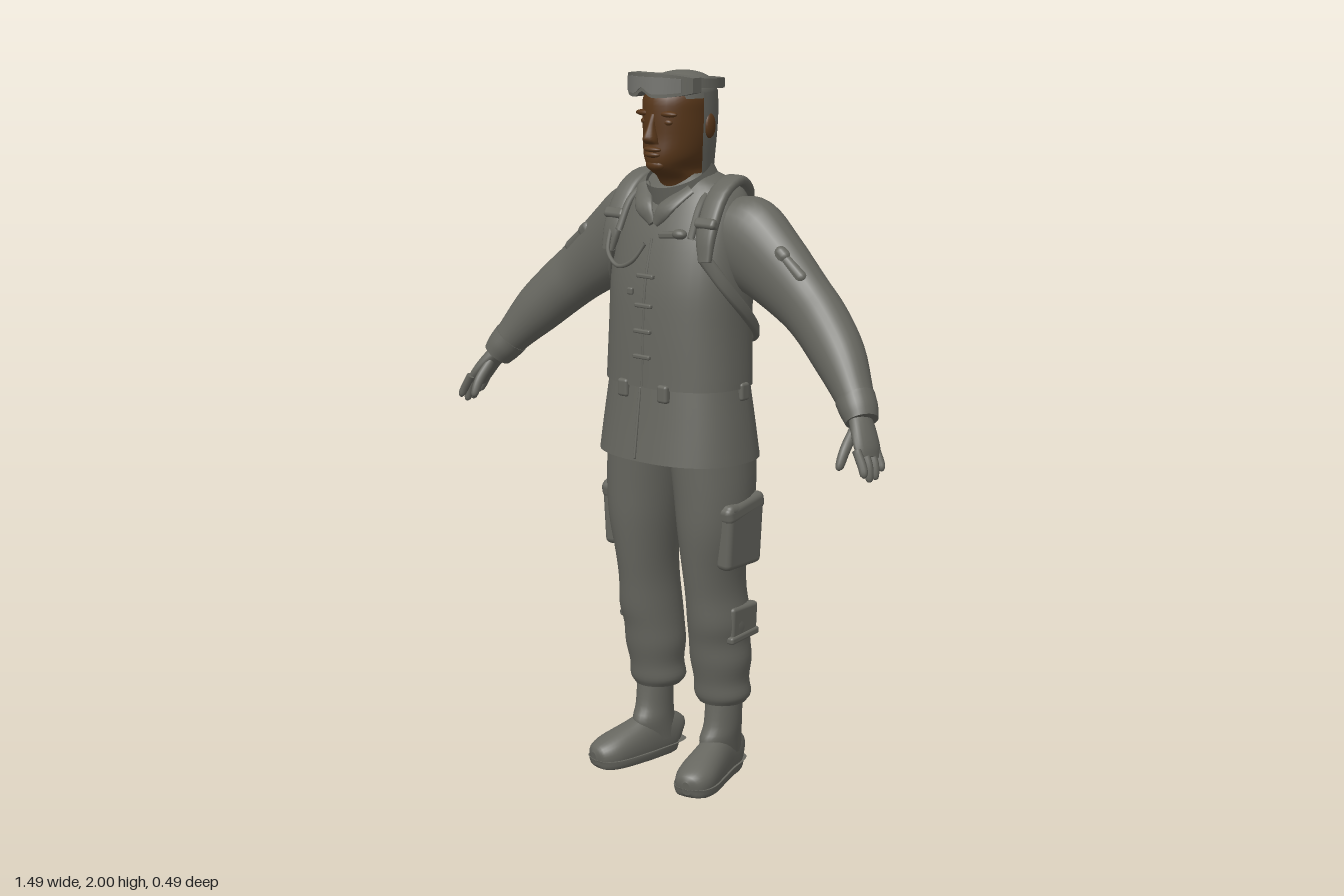
import * as THREE from 'three';
import { RoundedBoxGeometry } from 'three/addons/geometries/RoundedBoxGeometry.js';
import { mergeVertices } from 'three/addons/utils/BufferGeometryUtils.js';

const V = (x, y, z) => new THREE.Vector3(x, y, z);

// Skin through elliptical rings [x, y, z, ru, rv]; without ref the rings stay level,
// with ref they turn along the path and rv points towards ref.
function loft(rings, { ref = null, p = 1, n = 28, sub = 4, from = 0, arc = Math.PI * 2, cap = true } = {}) {
  const curve = (f) => new THREE.CatmullRomCurve3(rings.map(f), false, 'catmullrom', 0.5);
  const centre = curve((r) => V(r[0], r[1], r[2])), radius = curve((r) => V(r[3], r[4], 0));
  const steps = (rings.length - 1) * sub, pos = [], idx = [], row = n + 1;
  const sq = (c) => Math.sign(c) * Math.abs(c) ** p;
  const closed = arc > 6.28;
  for (let i = 0; i <= steps; i++) {
    const c = centre.getPoint(i / steps), r = radius.getPoint(i / steps);
    let u = V(1, 0, 0), v = V(0, 0, 1);
    if (ref) {
      const t = centre.getTangent(i / steps);
      v = ref.clone().addScaledVector(t, -ref.dot(t)).normalize();
      u = t.clone().cross(v);
    }
    for (let j = 0; j <= n; j++) {
      const a = from + (arc * j) / n;
      const q = c.clone().addScaledVector(u, r.x * sq(Math.cos(a))).addScaledVector(v, r.y * sq(Math.sin(a)));
      pos.push(q.x, q.y, q.z);
    }
  }
  for (let i = 0; i < steps; i++) for (let j = 0; j < n; j++) {
    const a = i * row + j, b = i * row + (closed ? (j + 1) % n : j + 1);
    idx.push(a, a + row, b, b, a + row, b + row);
  }
  if (cap && closed) [0, steps].forEach((i) => {
    const base = pos.length / 3, c = centre.getPoint(i / steps);
    pos.push(c.x, c.y, c.z, ...pos.slice(i * row * 3, (i * row + n) * 3));
    for (let j = 0; j < n; j++) {
      const a = base + 1 + j, b = base + 1 + ((j + 1) % n);
      idx.push(...(i ? [base, b, a] : [base, a, b]));
    }
  });
  const g = new THREE.BufferGeometry();
  g.setAttribute('position', new THREE.Float32BufferAttribute(pos, 3));
  g.setIndex(idx);
  g.computeVertexNormals();
  return g;
}

// Move every vertex by a rule
function shape(g, rule) {
  const a = g.attributes.position, v = V(0, 0, 0);
  for (let i = 0; i < a.count; i++) {
    rule(v.fromBufferAttribute(a, i));
    a.setXYZ(i, v.x, v.y, v.z);
  }
  g.computeVertexNormals();
  return g;
}

const box = (w, h, d, x, y, z, rx = 0, ry = 0, rz = 0) => mergeVertices(
  new RoundedBoxGeometry(w, h, d, 2, Math.min(w, h, d) * 0.35)).rotateZ(rz).rotateY(ry).rotateX(rx).translate(x, y, z);
const ball = (rx, ry, rz, x, y, z) => new THREE.SphereGeometry(1, 16, 12).scale(rx, ry, rz).translate(x, y, z);
const tube = (pts, r) => new THREE.TubeGeometry(
  new THREE.CatmullRomCurve3(pts.map((q) => V(...q))), 24, r, 8);

export function createModel() {
  const model = new THREE.Group();
  const mat = (name, color, side = THREE.FrontSide) => {
    const m = new THREE.MeshStandardMaterial({ color, side });
    m.name = name;
    return m;
  };
  const cloth = mat('greyCloth', 0x66665f, THREE.DoubleSide);
  const skin = mat('brownSkin', 0x573619);
  const glass = mat('lensGrey', 0x74746f);

  const add = (name, g, m = cloth) => {
    const mesh = new THREE.Mesh(g, m);
    mesh.name = name;
    model.add(mesh);
  };
  // Add a left part and its mirrored right twin
  const pair = (name, g, m = cloth) => {
    const r = g.clone().scale(-1, 1, 1), i = r.index.array;
    for (let k = 0; k < i.length; k += 3) [i[k], i[k + 1]] = [i[k + 1], i[k]];
    add(name + 'Left', g, m);
    add(name + 'Right', r, m);
  };
  const X = V(1, 0, 0), Y = V(0, 1, 0), Z = V(0, 0, 1);

  // Jacket skirt and vest
  add('jacketSkirt', loft([[0, 0.94, 0.06, 0.238, 0.175], [0, 1.04, 0.06, 0.226, 0.162],
    [0, 1.17, 0.06, 0.207, 0.147]], { p: 0.85, n: 40 }));
  add('vest', loft([[0, 1.145, 0.06, 0.218, 0.156], [0, 1.3, 0.055, 0.211, 0.156], [0, 1.43, 0.05, 0.21, 0.15],
    [0, 1.55, 0.035, 0.203, 0.137], [0, 1.64, 0.02, 0.188, 0.115], [0, 1.69, 0.015, 0.15, 0.09],
    [0, 1.72, 0.02, 0.08, 0.065]], { p: 0.85, n: 40 }));
  add('skirtSeam', box(0.008, 0.2, 0.008, -0.012, 1.045, 0.222, -0.13));
  add('vestSeam', tube([[0, 1.15, 0.215], [0, 1.3, 0.21], [0, 1.43, 0.2], [0, 1.55, 0.172]], 0.004));
  for (const [y, z] of [[1.23, 0.214], [1.3, 0.212], [1.37, 0.207], [1.45, 0.198]])
    add('toggle', box(0.06, 0.012, 0.016, 0, y, z));
  pair('beltLoopFront', box(0.036, 0.05, 0.024, 0.072, 1.135, 0.208));
  pair('beltLoopBack', box(0.036, 0.05, 0.024, 0.08, 1.135, -0.088));
  pair('beltLoopSide', box(0.024, 0.05, 0.036, 0.212, 1.135, 0.04));

  // Collar, high at the nape and low at the throat
  const collar = new THREE.CylinderGeometry(0.09, 0.108, 0.11, 32, 3, true);
  add('collar', collar.scale(1, 1, 1.08).rotateX(0.43).translate(0, 1.675, 0.038));
  pair('lapel', loft([[0.005, 1.59, 0.165, 0.006, 0.012], [0.04, 1.635, 0.158, 0.009, 0.028],
    [0.085, 1.685, 0.11, 0.008, 0.02]], { ref: X, n: 12 }));

  // Head and face
  add('head', loft([[0, 1.62, 0.03, 0.062, 0.065], [0, 1.7, 0.042, 0.064, 0.072], [0, 1.735, 0.06, 0.06, 0.105],
    [0, 1.77, 0.063, 0.076, 0.112], [0, 1.82, 0.06, 0.086, 0.11], [0, 1.88, 0.058, 0.09, 0.112],
    [0, 1.93, 0.055, 0.09, 0.108], [0, 1.97, 0.05, 0.065, 0.08], [0, 1.985, 0.05, 0.01, 0.01]]), skin);
  add('nose', loft([[0, 1.805, 0.172, 0.022, 0.012], [0, 1.82, 0.175, 0.02, 0.025], [0, 1.85, 0.17, 0.011, 0.016],
    [0, 1.885, 0.163, 0.008, 0.008]], { n: 14 }), skin);
  add('upperLip', ball(0.03, 0.008, 0.014, 0, 1.79, 0.168), skin);
  add('lowerLip', ball(0.026, 0.009, 0.014, 0, 1.776, 0.168), skin);
  add('chin', ball(0.032, 0.018, 0.02, 0, 1.748, 0.155), skin);
  pair('brow', ball(0.032, 0.009, 0.014, 0.04, 1.885, 0.152), skin);
  pair('eye', ball(0.017, 0.009, 0.01, 0.038, 1.863, 0.151), skin);
  pair('ear', ball(0.012, 0.034, 0.021, 0.092, 1.85, 0.04), skin);

  // Cap over the crown and the back of the head
  add('capBack', loft([[0, 1.68, 0.035, 0.071, 0.082], [0, 1.74, 0.042, 0.08, 0.09], [0, 1.82, 0.05, 0.092, 0.103],
    [0, 1.88, 0.05, 0.096, 0.106], [0, 1.94, 0.05, 0.096, 0.104]], { from: Math.PI * 0.95, arc: Math.PI * 1.1 }));
  add('capCrown', loft([[0, 1.925, 0.052, 0.096, 0.103], [0, 1.955, 0.05, 0.091, 0.099], [0, 1.98, 0.048, 0.066, 0.072],
    [0, 1.992, 0.047, 0.03, 0.034], [0, 1.994, 0.047, 0.002, 0.002]]));

  // Goggles pushed up on the forehead, with a loose strap
  const bend = (v) => {
    const s = Math.abs(v.x) / 0.115, top = v.y > 0;
    v.y = 1.963 + v.y * (1 - 0.4 * s ** 3) + (top ? 0 : 0.018 * Math.exp(-((v.x / 0.018) ** 2)));
    v.z += 0.193 - 0.075 * s * s;
  };
  add('goggleFrame', shape(new THREE.BoxGeometry(0.23, 0.066, 0.034, 24, 4, 1), bend));
  add('goggleLens', shape(new THREE.BoxGeometry(0.19, 0.046, 0.008, 24, 4, 1).translate(0, 0, 0.016), bend), glass);
  add('goggleStrap', new THREE.CylinderGeometry(1, 1, 0.026, 40, 1, true).scale(0.114, 1, 0.132)
    .rotateX(-0.06).translate(0, 1.965, 0.056));

  // Sleeves
  pair('sleeve', loft([[0.13, 1.57, 0.01, 0.1, 0.085], [0.2, 1.54, 0.005, 0.13, 0.09], [0.29, 1.485, 0.008, 0.112, 0.08],
    [0.4, 1.405, 0.015, 0.09, 0.07], [0.47, 1.35, 0.027, 0.083, 0.071], [0.55, 1.275, 0.053, 0.074, 0.066],
    [0.62, 1.195, 0.085, 0.054, 0.052], [0.66, 1.145, 0.105, 0.044, 0.046]], { ref: Z }));
  pair('cuff', loft([[0.628, 1.185, 0.089, 0.054, 0.053], [0.65, 1.157, 0.1, 0.05, 0.052],
    [0.667, 1.133, 0.11, 0.042, 0.046]], { ref: Z }));
  pair('sleevePocket', box(0.12, 0.045, 0.1, 0.38, 1.497, 0.018, 0, 0, -0.69));
  pair('sleevePocketFlap', box(0.05, 0.05, 0.106, 0.352, 1.523, 0.018, 0, 0, -0.69));

  // Gloved hands
  pair('palm', loft([[0.645, 1.16, 0.1, 0.026, 0.03], [0.68, 1.115, 0.122, 0.023, 0.042], [0.705, 1.075, 0.138, 0.02, 0.046],
    [0.718, 1.05, 0.145, 0.014, 0.04]], { ref: Z, n: 18 }));
  [[0.183, 0.192, 1.008], [0.157, 0.168, 0.993], [0.131, 0.143, 0.995], [0.108, 0.117, 1.012]].forEach(([z0, z1, y], k) =>
    pair('finger' + (k + 1), loft([[0.705, 1.075, z0, 0.012, 0.012], [0.728, 1.035, (z0 + z1) / 2, 0.012, 0.012],
      [0.736, y + 0.008, z1, 0.01, 0.009], [0.737, y, z1, 0.002, 0.002]], { ref: Z, n: 10 })));
  pair('thumb', loft([[0.665, 1.115, 0.14, 0.014, 0.015], [0.668, 1.07, 0.183, 0.014, 0.014], [0.668, 1.03, 0.205, 0.011, 0.011],
    [0.668, 1.02, 0.208, 0.002, 0.002]], { ref: Z, n: 10 }));

  // Trousers, gathered above the boots
  pair('trouserLeg', loft([[0.122, 0.222, 0.015, 0.068, 0.068], [0.122, 0.245, 0.014, 0.082, 0.08],
    [0.122, 0.29, 0.02, 0.078, 0.08], [0.123, 0.35, 0.024, 0.086, 0.09], [0.123, 0.41, 0.03, 0.082, 0.094],
    [0.128, 0.47, 0.038, 0.083, 0.1], [0.125, 0.55, 0.048, 0.076, 0.1], [0.125, 0.63, 0.056, 0.08, 0.104],
    [0.128, 0.74, 0.058, 0.097, 0.116], [0.125, 0.84, 0.054, 0.107, 0.125], [0.114, 0.97, 0.052, 0.114, 0.132]]));
  pair('thighPocket', box(0.05, 0.19, 0.15, 0.212, 0.735, 0.05, 0, 0, -0.06));
  pair('thighPocketFlap', box(0.05, 0.05, 0.16, 0.217, 0.81, 0.05, 0.18));
  pair('shinPocket', box(0.03, 0.1, 0.11, 0.195, 0.47, 0.02, 0, 0, -0.05));
  pair('shinPocketFlap', box(0.034, 0.022, 0.12, 0.197, 0.43, 0.022, 0.08));

  // Boots, turned slightly outwards
  const foot = (k) => [[0.112, 0.04, -0.058, 0.022 * k, 0.04], [0.117, 0.05, -0.035, 0.038 * k, 0.062],
    [0.128, 0.055, 0.035, 0.045 * k, 0.078], [0.145, 0.045, 0.11, 0.054 * k, 0.066], [0.163, 0.035, 0.18, 0.058 * k, 0.052],
    [0.172, 0.03, 0.222, 0.042 * k, 0.038], [0.175, 0.028, 0.236, 0.012 * k, 0.02]];
  pair('bootFoot', shape(loft(foot(1), { ref: Y, p: 0.9 }), (v) => { v.y = Math.max(v.y, 0.004); }));
  pair('bootSole', shape(loft(foot(1.09), { ref: Y, p: 0.6 }), (v) => { v.y = THREE.MathUtils.clamp(v.y, 0, 0.026); }));
  pair('bootShaft', loft([[0.122, 0.05, 0.012, 0.042, 0.066], [0.127, 0.11, 0.03, 0.046, 0.076],
    [0.13, 0.16, 0.022, 0.047, 0.064], [0.13, 0.25, 0.017, 0.049, 0.058]]));

  // Backpack with valve and hose loop
  add('backpack', loft([[0, 1.185, -0.088, 0.02, 0.022], [0, 1.23, -0.08, 0.085, 0.052], [0, 1.3, -0.075, 0.12, 0.092],
    [0, 1.43, -0.075, 0.128, 0.124], [0, 1.55, -0.07, 0.12, 0.118], [0, 1.64, -0.055, 0.1, 0.09],
    [0, 1.7, -0.04, 0.06, 0.05]], { n: 32 }));
  add('valve', new THREE.CylinderGeometry(0.026, 0.03, 0.03, 20).rotateX(-0.95).translate(0, 1.635, -0.15));
  add('hoseLoop', tube([[0, 1.53, -0.185], [0, 1.525, -0.215], [0, 1.48, -0.24], [0, 1.44, -0.23], [0, 1.44, -0.195]], 0.006));
  pair('packSeam', tube([[0.03, 1.68, -0.1], [0.075, 1.58, -0.167], [0.08, 1.43, -0.173], [0.05, 1.27, -0.146],
    [0.02, 1.2, -0.108]], 0.005));

  // Shoulder straps, pads and side straps
  pair('shoulderStrap', loft([[0.09, 1.6, -0.115, 0.012, 0.022], [0.125, 1.67, -0.07, 0.014, 0.028],
    [0.15, 1.705, 0.005, 0.015, 0.032], [0.16, 1.67, 0.085, 0.015, 0.033], [0.165, 1.58, 0.138, 0.015, 0.032],
    [0.175, 1.5, 0.158, 0.01, 0.02]], { ref: X, n: 16, p: 0.7 }));
  pair('strapBuckle', box(0.072, 0.03, 0.03, 0.163, 1.6, 0.138, -0.5));
  pair('strapWebbing', tube([[0.115, 1.68, 0.07], [0.125, 1.64, 0.12], [0.13, 1.56, 0.163]], 0.01));
  pair('sideStrap', loft([[0.165, 1.51, 0.15, 0.008, 0.018], [0.208, 1.42, 0.1, 0.01, 0.018], [0.213, 1.34, 0.02, 0.01, 0.018],
    [0.175, 1.28, -0.06, 0.01, 0.018], [0.08, 1.24, -0.105, 0.01, 0.018]], { ref: Y, n: 12, p: 0.7 }));

  // Chest cord and clip
  add('chestCord', tube([[-0.17, 1.56, 0.152], [-0.145, 1.5, 0.19], [-0.1, 1.468, 0.2], [-0.05, 1.485, 0.2],
    [-0.018, 1.535, 0.182]], 0.006));
  add('chestClip', box(0.08, 0.018, 0.03, 0.075, 1.567, 0.175, 0, 0, 0.1));
  add('chestClipTip', ball(0.022, 0.014, 0.018, 0.11, 1.573, 0.185));
  add('smallHook', box(0.02, 0.02, 0.014, -0.05, 1.405, 0.204));
  return model;
}
